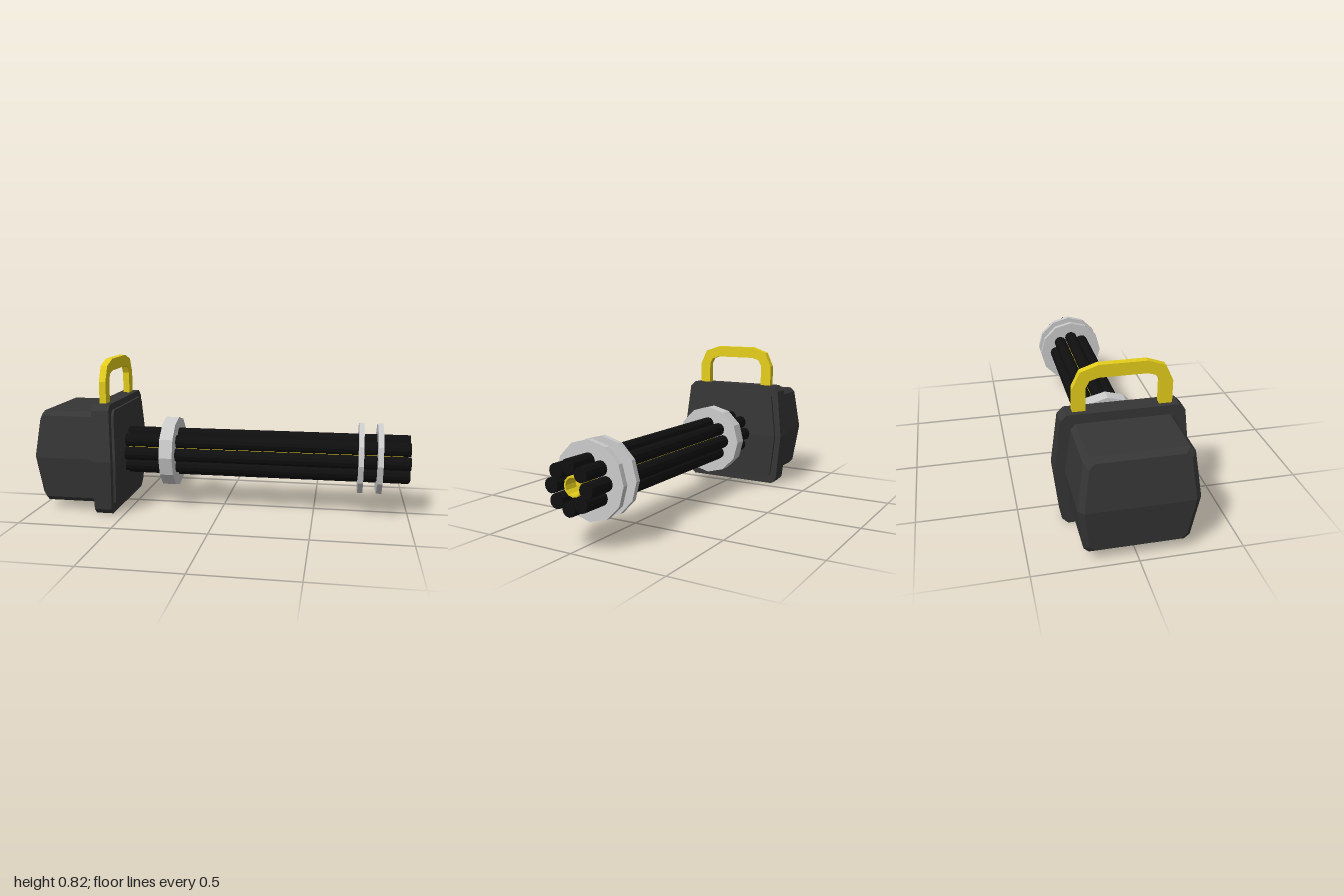
import * as THREE from 'three';

const material = (color) => new THREE.MeshStandardMaterial({ color, flatShading: true });
const AXIS_Y = 0.3; // height of the barrel axis
const AXIS_Z = 0.002;

// Ten-sided outline: slightly pointed flanks and clipped corners.
// bulge shifts x at mid height, so that end faces are bent along the middle.
function section(x, mid, end, half, clip, bulge) {
  const quarter = [[mid, 0], [end, half - clip], [end - clip, half]];
  const upper = [...quarter, ...quarter.slice().reverse().map(([z, y]) => [-z, y])];
  const lower = upper.slice(1, 5).map(([z, y]) => [-z, -y]);
  return [...upper, ...lower].map(
    ([z, y]) => new THREE.Vector3(x + bulge * (1 - Math.abs(y) / half), y + AXIS_Y, z)
  );
}

// Joins outlines along +x and closes both ends.
function loft(sections) {
  const points = [];
  const n = 10;
  for (let s = 0; s < sections.length - 1; s++) {
    const a = sections[s];
    const b = sections[s + 1];
    for (let i = 0; i < n; i++) {
      const j = (i + 1) % n;
      points.push(a[i], b[i], a[j], a[j], b[i], b[j]);
    }
  }
  const first = sections[0];
  const last = sections[sections.length - 1];
  // Each end is two flat halves meeting at mid height
  for (const start of [0, 5]) {
    for (let k = 1; k < 5; k++) {
      const i = start + k;
      const j = (i + 1) % n;
      points.push(first[start], first[i], first[j]);
      points.push(last[start], last[j], last[i]);
    }
  }
  const geometry = new THREE.BufferGeometry().setFromPoints(points);
  geometry.computeVertexNormals();
  return geometry;
}

// Cylinder lying along x
function rod(radius, x0, x1, sides) {
  const geometry = new THREE.CylinderGeometry(radius, radius, x1 - x0, sides);
  geometry.rotateZ(Math.PI / 2);
  geometry.translate((x0 + x1) / 2, 0, 0);
  return geometry;
}

export function createModel() {
  const group = new THREE.Group();
  const housing = material(0x363636);
  const black = material(0x0f0f0f);
  const grey = material(0xcccccc);
  const gold = material(0xe6cf1c);

  function add(name, geometry, mat, y = 0, z = 0) {
    const mesh = new THREE.Mesh(geometry, mat);
    mesh.name = name;
    mesh.position.set(0, y, z);
    group.add(mesh);
  }

  // Rear housing
  add('rearHousing', loft([
    section(-0.97, 0.253, 0.228, 0.228, 0.025, -0.03),
    section(-0.945, 0.28, 0.25, 0.25, 0.025, -0.03),
    section(-0.64, 0.28, 0.25, 0.25, 0.025, 0),
  ]), housing);

  // Mounting plate with a raised front panel
  add('mountingPlate', loft([
    section(-0.657, 0.33, 0.298, 0.298, 0.03, 0),
    section(-0.565, 0.33, 0.298, 0.298, 0.03, 0.015),
  ]), housing);
  add('frontPanel', loft([
    section(-0.6, 0.296, 0.264, 0.264, 0.027, 0),
    section(-0.55, 0.296, 0.264, 0.264, 0.027, 0.015),
  ]), housing);

  // Ring of eight barrels
  for (let i = 0; i < 8; i++) {
    const angle = (i / 8) * Math.PI * 2;
    add('barrel' + (i + 1), rod(0.0365, -0.58, 1, 12), black,
      AXIS_Y + 0.097 * Math.cos(angle), AXIS_Z + 0.097 * Math.sin(angle));
  }

  // Central core with a recessed muzzle
  const profile = [[0, -0.57], [0.05, -0.57], [0.05, 0.97], [0.041, 0.97], [0.041, 0.9], [0, 0.9]];
  const core = new THREE.LatheGeometry(profile.map(([r, x]) => new THREE.Vector2(r, x)), 12);
  core.rotateZ(-Math.PI / 2);
  add('core', core, gold, AXIS_Y, AXIS_Z);

  // Barrel clamps
  [[-0.328, -0.255], [0.73, 0.757], [0.828, 0.856]].forEach(([x0, x1], i) => {
    add('clamp' + (i + 1), rod(0.193, x0, x1, 12), grey, AXIS_Y, AXIS_Z);
  });

  // Carrying handle: an angular arch
  const outer = [[0.238, 0.57], [0.238, 0.713], [0.201, 0.793], [0.115, 0.823]];
  const inner = [[0.175, 0.57], [0.175, 0.713], [0.157, 0.747], [0.115, 0.76]];
  const mirrored = (side) => side.slice().reverse().map(([z, y]) => [-z, y]);
  const outline = [...outer, ...mirrored(outer), ...inner.map(([z, y]) => [-z, y]), ...inner.slice().reverse()];
  const handle = new THREE.ExtrudeGeometry(
    new THREE.Shape(outline.map(([z, y]) => new THREE.Vector2(z, y))),
    { depth: 0.036, bevelEnabled: false }
  );
  handle.rotateY(Math.PI / 2);
  handle.translate(-0.63, 0, 0);
  add('handle', handle, gold, 0, AXIS_Z);

  return group;
}
